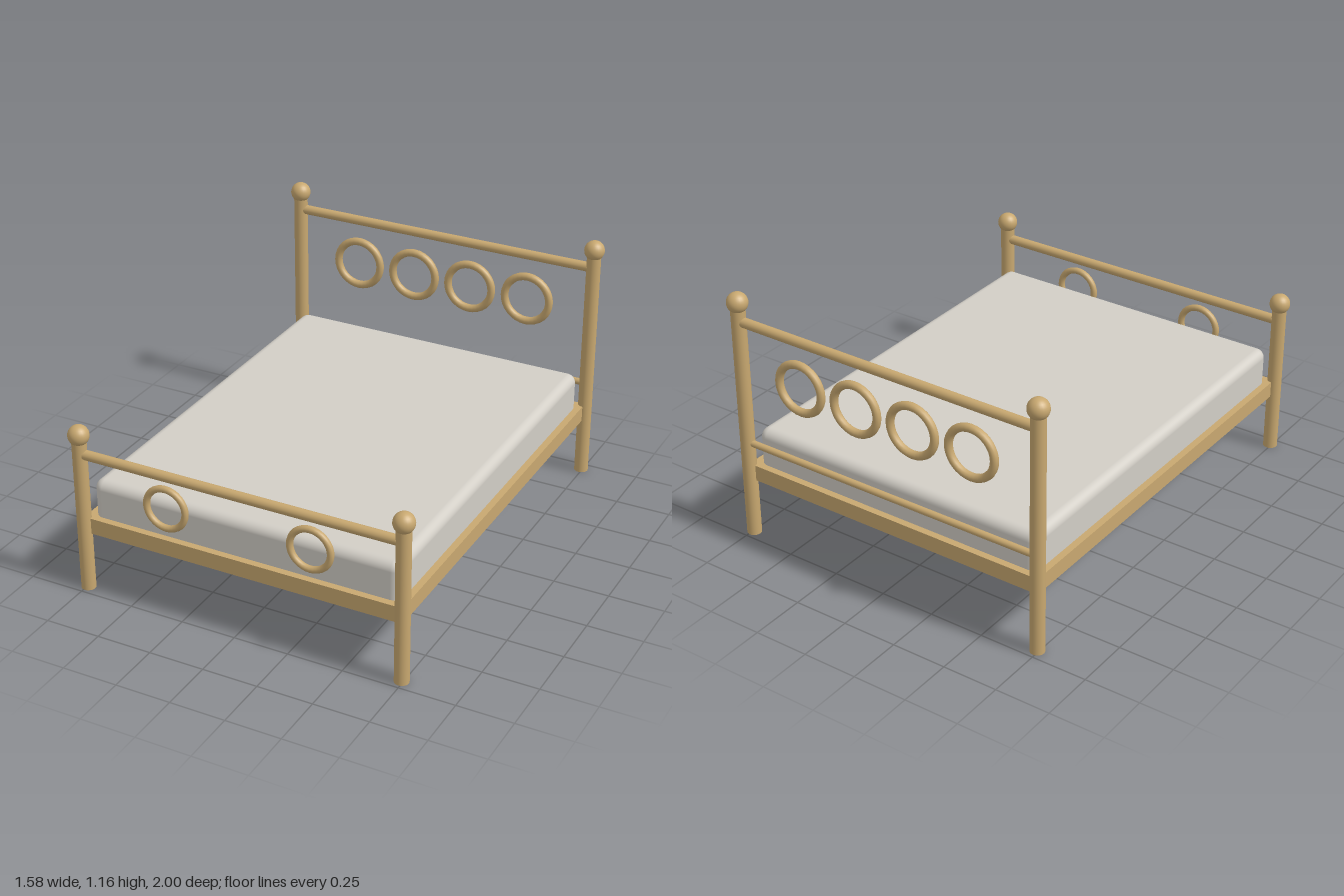
import * as THREE from 'three';
import { RoundedBoxGeometry } from 'three/addons/geometries/RoundedBoxGeometry.js';

const POST_X = 0.743, POST_Z = 0.954;

export function createModel() {
  const bed = new THREE.Group();
  bed.name = 'bed';
  const brass = new THREE.MeshStandardMaterial({ color: 0xc8a870 });
  brass.name = 'brass';
  const linen = new THREE.MeshStandardMaterial({ color: 0xd2cec6 });
  linen.name = 'linen';

  const add = (parent, name, geometry, material, x, y, z) => {
    const mesh = new THREE.Mesh(geometry, material);
    mesh.name = name;
    mesh.position.set(x, y, z);
    parent.add(mesh);
    return mesh;
  };

  // One end of the bed: two posts with ball finials, cross rails and a row of rings
  function endBoard({ name, z, ballY, rails, ringXs, ringY, ringRadius, ringTube }) {
    const board = new THREE.Group();
    board.name = name;
    board.position.z = z;
    const postHeight = ballY - 0.025;
    for (const side of [-1, 1]) {
      add(board, 'post', new THREE.CylinderGeometry(0.032, 0.032, postHeight, 24), brass, side * POST_X, postHeight / 2, 0);
      add(board, 'finial', new THREE.SphereGeometry(0.046, 24, 16), brass, side * POST_X, ballY, 0);
    }
    for (const [y, radius] of rails) {
      const rail = add(board, 'rail', new THREE.CylinderGeometry(radius, radius, POST_X * 2, 20), brass, 0, y, 0);
      rail.rotation.z = Math.PI / 2;
    }
    for (const x of ringXs) {
      add(board, 'ring', new THREE.TorusGeometry(ringRadius, ringTube, 12, 32), brass, x, ringY, 0);
    }
    bed.add(board);
  }

  endBoard({
    name: 'headboard', z: -POST_Z, ballY: 1.118, rails: [[1.033, 0.022], [0.455, 0.015]],
    ringXs: [-0.43, -0.143, 0.143, 0.43], ringY: 0.814, ringRadius: 0.11, ringTube: 0.018,
  });
  endBoard({
    name: 'footboard', z: POST_Z, ballY: 0.737, rails: [[0.651, 0.022]],
    ringXs: [-0.334, 0.334], ringY: 0.498, ringRadius: 0.092, ringTube: 0.015,
  });

  // Base between the posts, with the mattress sunk slightly into it
  add(bed, 'baseFrame', new THREE.BoxGeometry(POST_X * 2, 0.073, POST_Z * 2), brass, 0, 0.309, 0);
  add(bed, 'mattress', new RoundedBoxGeometry(1.425, 0.225, 1.846, 5, 0.042), linen, 0, 0.4025, 0);

  return bed;
}
